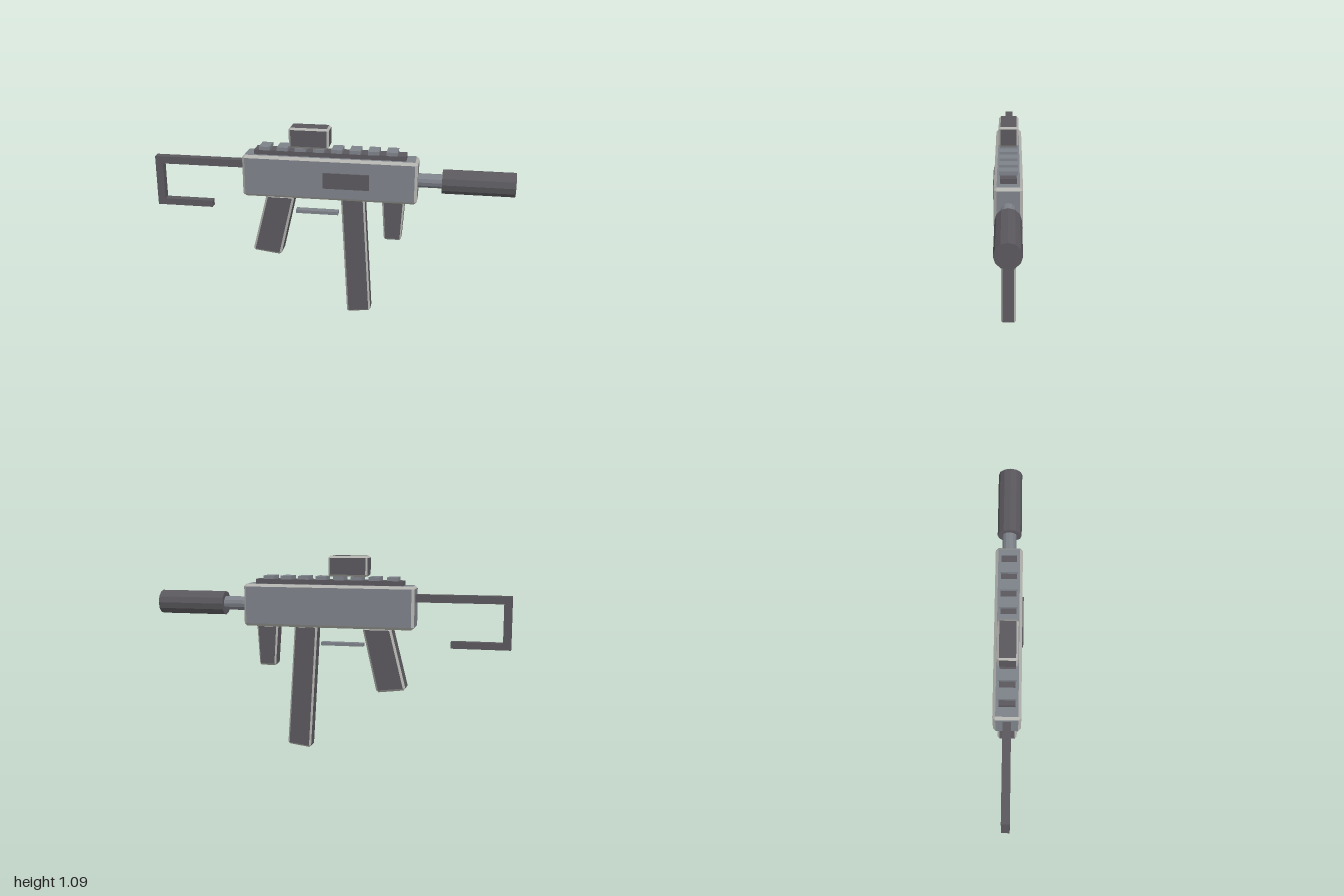
import * as THREE from 'three';

const mat = (name, color) => {
  const m = new THREE.MeshStandardMaterial({ color });
  m.name = name;
  return m;
};

// Box with chamfered edges: group 0 = the six faces, group 1 = edges and corners.
// warp(v) moves each corner by a rule, for tapered and leaning parts.
function chamferedBox(w, h, d, b, warp = (v) => v) {
  const half = [w / 2, h / 2, d / 2];
  const S = [-1, 1];
  const point = (s, axis) => new THREE.Vector3(...s.map((k, i) => k * (half[i] - (i === axis ? 0 : b))));
  const pos = [];
  const tri = (a, b2, c) => {
    const n = b2.clone().sub(a).cross(c.clone().sub(a));
    const mid = a.clone().add(b2).add(c);
    const list = n.dot(mid) > 0 ? [a, b2, c] : [a, c, b2];
    list.forEach((p) => pos.push(...warp(p.clone()).toArray()));
  };
  const quad = (a, b2, c, e) => { tri(a, b2, c); tri(a, c, e); };
  const signs = (axis, s, u, v) => {
    const r = [0, 0, 0];
    r[axis] = s; r[(axis + 1) % 3] = u; r[(axis + 2) % 3] = v;
    return r;
  };
  // faces
  for (let a = 0; a < 3; a++) for (const s of S) {
    quad(...[[-1, -1], [1, -1], [1, 1], [-1, 1]].map(([u, v]) => point(signs(a, s, u, v), a)));
  }
  const faceCount = pos.length / 3;
  // edges running along axis a
  for (let a = 0; a < 3; a++) for (const u of S) for (const v of S) {
    const lo = signs(a, -1, u, v), hi = signs(a, 1, u, v);
    const p = (a + 1) % 3, q = (a + 2) % 3;
    quad(point(lo, p), point(hi, p), point(hi, q), point(lo, q));
  }
  // corners
  for (const x of S) for (const y of S) for (const z of S) {
    tri(point([x, y, z], 0), point([x, y, z], 1), point([x, y, z], 2));
  }
  const g = new THREE.BufferGeometry();
  g.setAttribute('position', new THREE.Float32BufferAttribute(pos, 3));
  g.addGroup(0, faceCount, 0);
  g.addGroup(faceCount, pos.length / 3 - faceCount, 1);
  g.computeVertexNormals();
  return g;
}

export function createModel() {
  const model = new THREE.Group();
  model.name = 'model';
  const steel = mat('blue grey metal', 0x7d8189);
  const dark = mat('dark grey', 0x5a585d);
  const edge = mat('worn edge', 0xb2b3ae);
  const Z = -0.002;

  const add = (name, geometry, material, x, y, z = Z) => {
    const m = new THREE.Mesh(geometry, material);
    m.name = name;
    m.position.set(x, y, z);
    model.add(m);
    return m;
  };
  // Box from its limits in x and y, and its depth
  const box = (name, material, x0, x1, y0, y1, depth, z = Z) =>
    add(name, new THREE.BoxGeometry(x1 - x0, y1 - y0, depth), material, (x0 + x1) / 2, (y0 + y1) / 2, z);
  // Chamfered box stretched over a four-cornered outline: top left, top right, bottom left, bottom right
  const limb = (name, [tl, tr, bl, br], depth, bevel) => {
    const w = tr[0] - tl[0], h = tl[1] - bl[1];
    const mix = THREE.MathUtils.lerp;
    const warp = (v) => {
      const u = v.x / w + 0.5, t = v.y / h + 0.5;
      return v.set(
        mix(mix(bl[0], br[0], u), mix(tl[0], tr[0], u), t),
        mix(mix(bl[1], br[1], u), mix(tl[1], tr[1], u), t), v.z);
    };
    add(name, chamferedBox(w, h, depth, bevel, warp), [dark, edge], 0, 0);
  };

  // Body
  add('receiver', chamferedBox(0.965, 0.237, 0.147, 0.015), [steel, edge], -0.003, 0.812);
  box('sidePort', dark, -0.035, 0.22, 0.765, 0.853, 0.009, 0.0745);

  // Rail and its ridges
  box('rail', dark, -0.42, 0.415, 0.925, 0.957, 0.084);
  for (let i = 0; i < 8; i++) {
    const x = -0.362 + i * 0.1;
    box('railRidge', steel, x - 0.03, x + 0.03, 0.957, 0.977, 0.096);
  }
  add('sight', chamferedBox(0.22, 0.113, 0.108, 0.011), [dark, edge], -0.115, 1.034);

  // Barrel and muzzle cylinder
  const rod = (name, r, x0, x1, material) => {
    const g = new THREE.CylinderGeometry(r, r, x1 - x0, 12).toNonIndexed();
    g.rotateZ(-Math.PI / 2);
    g.computeVertexNormals();
    add(name, g, material, (x0 + x1) / 2, 0.814);
  };
  rod('barrel', 0.039, 0.46, 0.62, steel);
  rod('muzzleCylinder', 0.067, 0.61, 1, dark);

  // Grips and magazine
  limb('rearGrip', [[-0.357, 0.7], [-0.197, 0.7], [-0.443, 0.36], [-0.28, 0.34]], 0.108, 0.012);
  limb('magazine', [[0.06, 0.7], [0.192, 0.7], [0.1, 0], [0.235, 0.017]], 0.084, 0.01);
  limb('frontGrip', [[0.288, 0.7], [0.413, 0.7], [0.304, 0.468], [0.398, 0.468]], 0.086, 0.01);
  box('gripGuard', steel, -0.197, 0.042, 0.59, 0.608, 0.044);

  // Wire-like stock
  const s = new THREE.Shape([
    [-0.47, 0.885], [-1, 0.885], [-1, 0.597], [-0.68, 0.597],
    [-0.68, 0.634], [-0.957, 0.634], [-0.957, 0.843], [-0.47, 0.843],
  ].map((p) => new THREE.Vector2(...p)));
  const stock = new THREE.ExtrudeGeometry(s, { depth: 0.044, bevelEnabled: false });
  add('stock', stock.translate(0, 0, -0.022), dark, 0, 0);

  return model;
}
